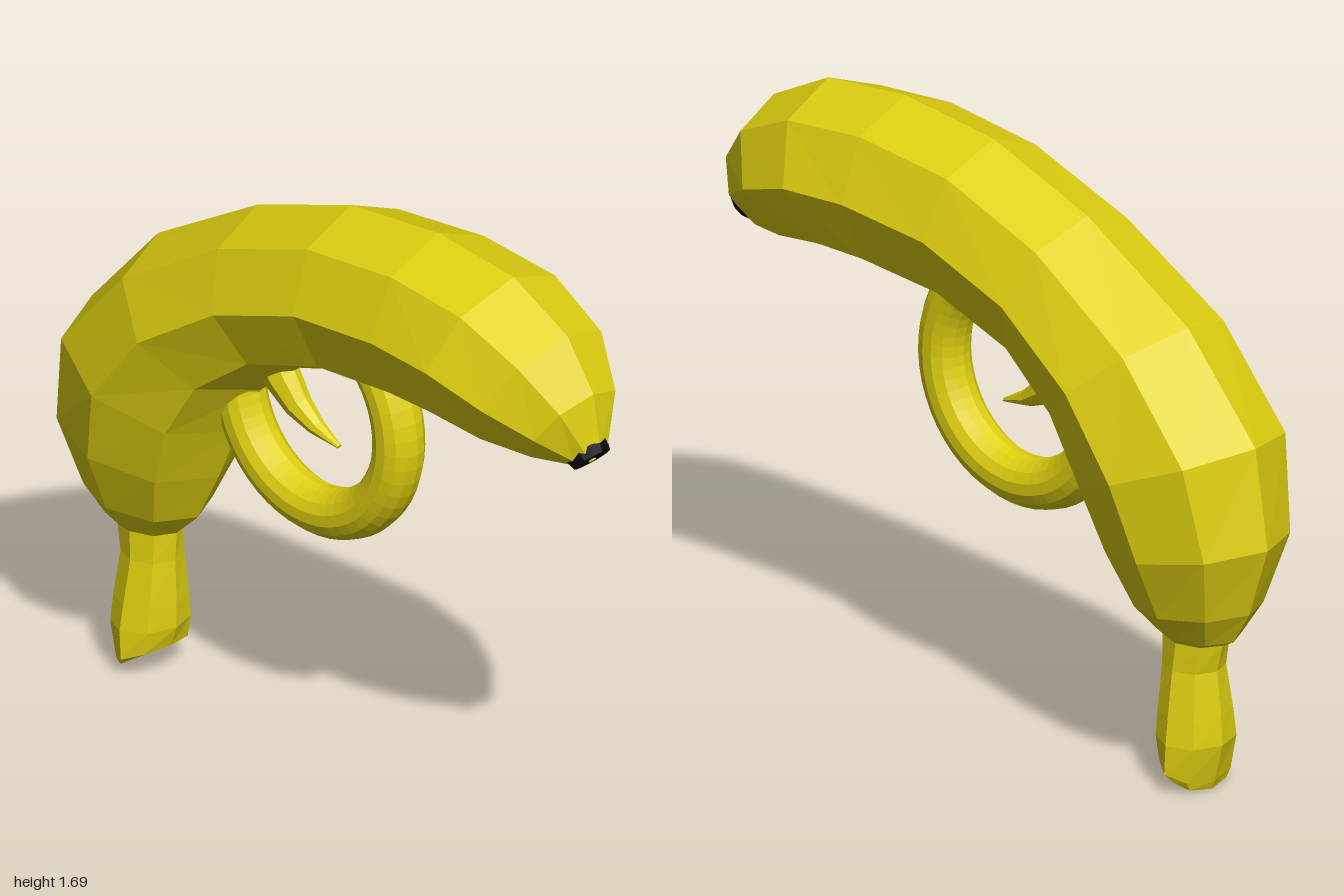
import * as THREE from 'three';

const skin = new THREE.MeshStandardMaterial({ color: 0xdfd010 });
skin.name = 'banana yellow';
skin.flatShading = true;
const black = new THREE.MeshStandardMaterial({ color: 0x0a0a0a });
black.name = 'tip black';
black.flatShading = true;

// Closed loft through elliptical rings: [outerX, outerY, innerX, innerY, halfWidthZ]
function loft(rings, sides) {
  const pts = rings.map(([ox, oy, ix, iy, w]) => {
    const ring = [];
    for (let j = 0; j < sides; j++) {
      const t = (j / sides) * Math.PI * 2;
      const c = Math.cos(t) / 2;
      ring.push([(ox + ix) / 2 + (ox - ix) * c, (oy + iy) / 2 + (oy - iy) * c, w * Math.sin(t)]);
    }
    return ring;
  });
  const pos = [];
  const tri = (...corners) => corners.forEach((p) => pos.push(...p));
  const centre = ([ox, oy, ix, iy]) => [(ox + ix) / 2, (oy + iy) / 2, 0];
  const last = rings.length - 1;
  for (let j = 0; j < sides; j++) {
    const k = (j + 1) % sides;
    for (let i = 0; i < last; i++) {
      tri(pts[i][j], pts[i][k], pts[i + 1][k]);
      tri(pts[i][j], pts[i + 1][k], pts[i + 1][j]);
    }
    tri(centre(rings[0]), pts[0][k], pts[0][j]);
    tri(centre(rings[last]), pts[last][j], pts[last][k]);
  }
  const geo = new THREE.BufferGeometry();
  geo.setAttribute('position', new THREE.Float32BufferAttribute(pos, 3));
  geo.computeVertexNormals();
  return geo;
}

export function createModel() {
  const group = new THREE.Group();
  const add = (name, geo, mat) => {
    const mesh = new THREE.Mesh(geo, mat);
    mesh.name = name;
    group.add(mesh);
    return mesh;
  };

  // Stem, used as the grip, with an obliquely cut end
  add('stem', loft([
    [-0.79, 0.005, -0.69, 0.07, 0.1],
    [-0.8, 0.03, -0.65, 0.09, 0.118],
    [-0.83, 0.14, -0.63, 0.15, 0.118],
    [-0.825, 0.22, -0.63, 0.22, 0.107],
    [-0.81, 0.35, -0.635, 0.35, 0.085],
    [-0.83, 0.43, -0.63, 0.435, 0.08],
  ], 8), skin);

  // Curved eight-sided fruit
  add('body', loft([
    [-0.83, 0.43, -0.63, 0.435, 0.08],
    [-0.87, 0.45, -0.615, 0.45, 0.1],
    [-0.93, 0.545, -0.55, 0.51, 0.16],
    [-1.0, 0.75, -0.47, 0.66, 0.235],
    [-0.955, 1.035, -0.395, 0.825, 0.28],
    [-0.7, 1.315, -0.31, 0.98, 0.275],
    [-0.32, 1.535, -0.16, 1.1, 0.25],
    [0.035, 1.66, 0.09, 1.18, 0.245],
    [0.37, 1.695, 0.36, 1.2, 0.25],
    [0.66, 1.665, 0.5, 1.205, 0.255],
    [0.865, 1.56, 0.66, 1.19, 0.225],
    [0.965, 1.42, 0.81, 1.187, 0.15],
    [0.99, 1.27, 0.905, 1.195, 0.06],
  ], 8), skin);

  // Dark blossom end with a small centre dot, facing forward and down
  const axis = new THREE.Vector3(0.69, -0.72, 0).normalize();
  const turn = new THREE.Quaternion().setFromUnitVectors(new THREE.Vector3(0, 1, 0), axis);
  const tip = add('blossomEnd', new THREE.CylinderGeometry(0.056, 0.064, 0.03, 12), black);
  tip.position.set(0.949, 1.232, 0);
  tip.quaternion.copy(turn);
  const dot = add('blossomDot', new THREE.CylinderGeometry(0.011, 0.011, 0.006, 8), skin);
  dot.position.copy(tip.position).addScaledVector(axis, 0.016);
  dot.quaternion.copy(turn);

  // Ring guard, its ends buried in the body
  const guard = add('triggerGuard', new THREE.TorusGeometry(0.305, 0.072, 14, 36, Math.PI * 1.4), skin);
  guard.position.set(-0.085, 1.01, 0);
  guard.rotation.z = Math.PI * 0.9;

  // Curved, tapering trigger
  add('trigger', loft([
    [-0.22, 1.16, -0.32, 1.07, 0.05],
    [-0.18, 1.085, -0.265, 1.01, 0.048],
    [-0.135, 1.015, -0.19, 0.955, 0.038],
    [-0.08, 0.965, -0.11, 0.925, 0.025],
    [-0.005, 0.921, -0.01, 0.911, 0.008],
  ], 8), skin);

  return group;
}
